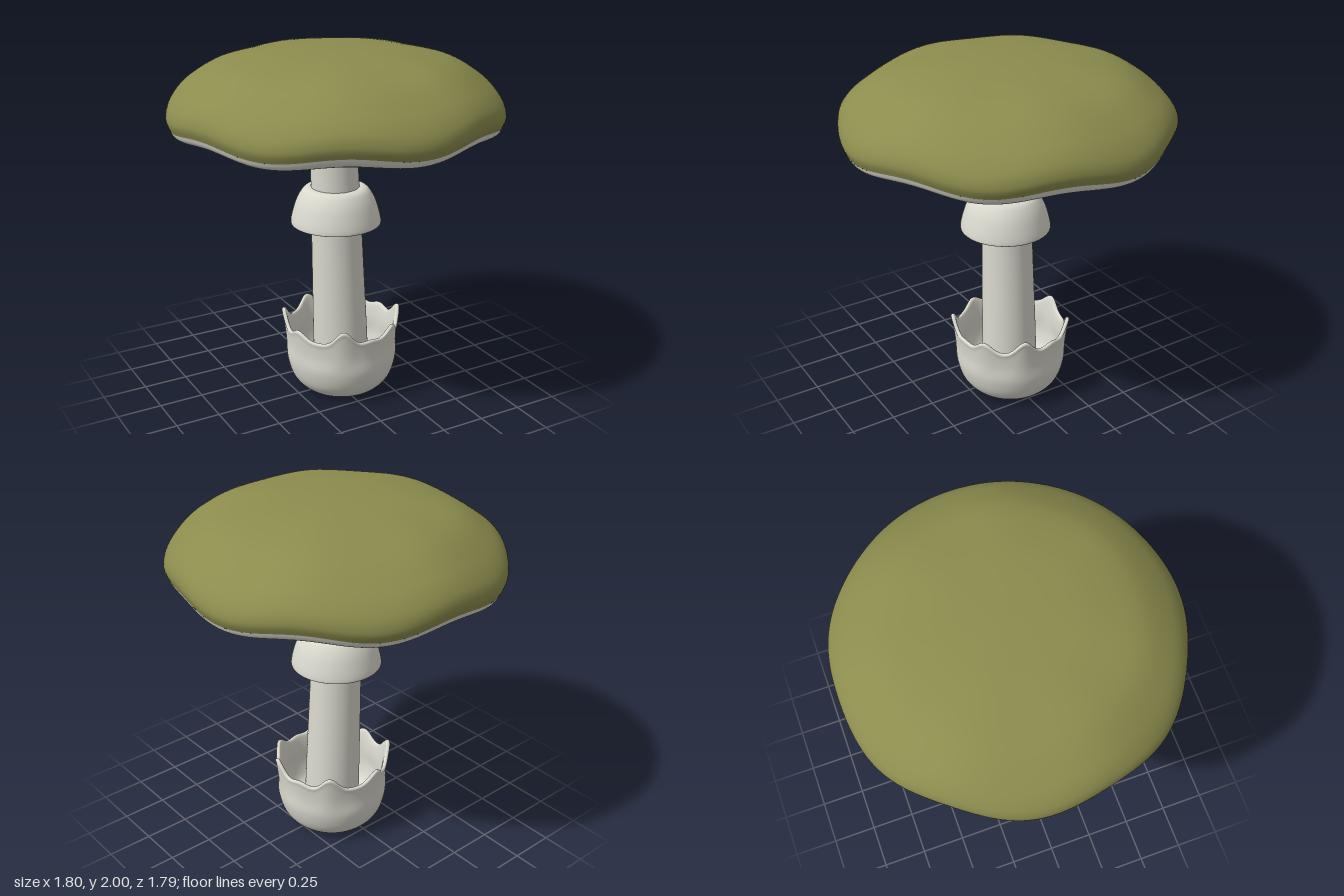
import * as THREE from 'three';

const capGreen = new THREE.MeshStandardMaterial({ color: 0x8c8c4e });
const paleFlesh = new THREE.MeshStandardMaterial({ color: 0xdad9ce });
const gillWhite = new THREE.MeshStandardMaterial({ color: 0xd8d6cc });
capGreen.name = 'capGreen';
paleFlesh.name = 'paleFlesh';
gillWhite.name = 'gillWhite';

// Revolves a smooth [radius, y] profile; warp(r, y, angle, v) returns [x, y, z].
// Angle 0 faces +z and grows toward +x; profiles run bottom to top on outer faces.
function revolve(name, material, profile, around, along, warp) {
  const curve = new THREE.SplineCurve(profile.map(([r, y]) => new THREE.Vector2(r, y)));
  const positions = [], index = [];
  for (let j = 0; j <= along; j++) {
    const p = curve.getPoint(j / along);
    for (let i = 0; i < around; i++) {
      positions.push(...warp(Math.max(p.x, 0), p.y, (i / around) * Math.PI * 2, j / along));
    }
  }
  for (let j = 0; j < along; j++) {
    for (let i = 0; i < around; i++) {
      const n = (i + 1) % around;
      const a = j * around + i, b = j * around + n;
      const c = b + around, d = a + around;
      index.push(a, b, d, b, c, d);
    }
  }
  const geometry = new THREE.BufferGeometry();
  geometry.setAttribute('position', new THREE.Float32BufferAttribute(positions, 3));
  geometry.setIndex(index);
  geometry.computeVertexNormals();
  const mesh = new THREE.Mesh(geometry, material);
  mesh.name = name;
  return mesh;
}

const place = (r, y, a, cx, cz) => [cx + r * Math.sin(a), y, cz + r * Math.cos(a)];

// Seven soft lobes around the cap, fading out toward the middle
function capWarp(r, y, a) {
  const t = (r / 0.9) ** 3;
  const lobe = Math.cos(7 * a);
  return place(r * (1 + 0.011 * t * lobe), y + 0.0175 * t * (1 - lobe), a, 0, -0.008 * t);
}

// Fine radial pleats, strongest at the stalk
function gillWarp(r, y, a) {
  const fade = Math.max(0, 1 - r / 0.8);
  return capWarp(r, y + 0.006 * fade * Math.cos(60 * a), a);
}

// Torn teeth of the basal cup: [angle in degrees, height]
const teeth = [
  [2, 0.015], [31, 0.06], [72, 0.085], [105, 0.025], [138, 0.085],
  [190, 0.065], [240, 0.09], [282, 0.045], [333, 0.09],
];
function toothHeight(a) {
  const deg = THREE.MathUtils.radToDeg(a);
  return teeth.reduce((sum, [at, h]) => {
    const d = ((deg - at + 540) % 360) - 180;
    return sum + h * Math.exp(-((d / 11) ** 2));
  }, 0);
}
function cupWarp(r, y, a) {
  const t = THREE.MathUtils.smoothstep(y, 0.2, 0.385);
  const h = toothHeight(a);
  return place(r + t * (h - 0.03) * 0.25, y + t * h, a, 0.037, -0.008);
}

export function createModel() {
  const group = new THREE.Group();
  group.name = 'mushroom';

  // Cap
  group.add(revolve('cap', capGreen, [
    [0.882, 1.603], [0.897, 1.655], [0.872, 1.725], [0.79, 1.81], [0.63, 1.91],
    [0.41, 1.967], [0.2, 1.991], [0, 2],
  ], 168, 48, capWarp));

  // Gills and the pale lip of the cap
  group.add(revolve('gills', gillWhite, [
    [0.09, 1.475], [0.4, 1.508], [0.7, 1.54], [0.82, 1.555], [0.865, 1.573], [0.882, 1.603],
  ], 480, 30, gillWarp));

  // Gently leaning stalk
  group.add(revolve('stalk', paleFlesh, [
    [0.16, 0.05], [0.154, 0.4], [0.146, 0.75], [0.139, 1.05], [0.132, 1.3], [0.127, 1.5],
  ], 64, 24, (r, y, a) => {
    const s = y / 1.5;
    return place(r, y, a, 0.04 - 0.056 * s, -0.005);
  }));

  // Hanging skirt, open below: inner wall down is reversed into one closed shell
  group.add(revolve('ring', paleFlesh, [
    [0.125, 1.195], [0.17, 1.185], [0.205, 1.12], [0.23, 1.03], [0.24, 1.018], [0.251, 1.024],
    [0.242, 1.075], [0.218, 1.15], [0.186, 1.205], [0.158, 1.224], [0.125, 1.225],
  ], 72, 50, (r, y, a) => place(r, y, a, -0.004, 0)));

  // Basal cup with a torn rim
  group.add(revolve('basalCup', paleFlesh, [
    [0, 0.004], [0.16, 0.006], [0.225, 0.022], [0.285, 0.09], [0.314, 0.19], [0.315, 0.28],
    [0.322, 0.35], [0.328, 0.378], [0.318, 0.388], [0.304, 0.375], [0.29, 0.3],
    [0.285, 0.2], [0.25, 0.11], [0.16, 0.08], [0, 0.075],
  ], 180, 70, cupWarp));

  return group;
}
